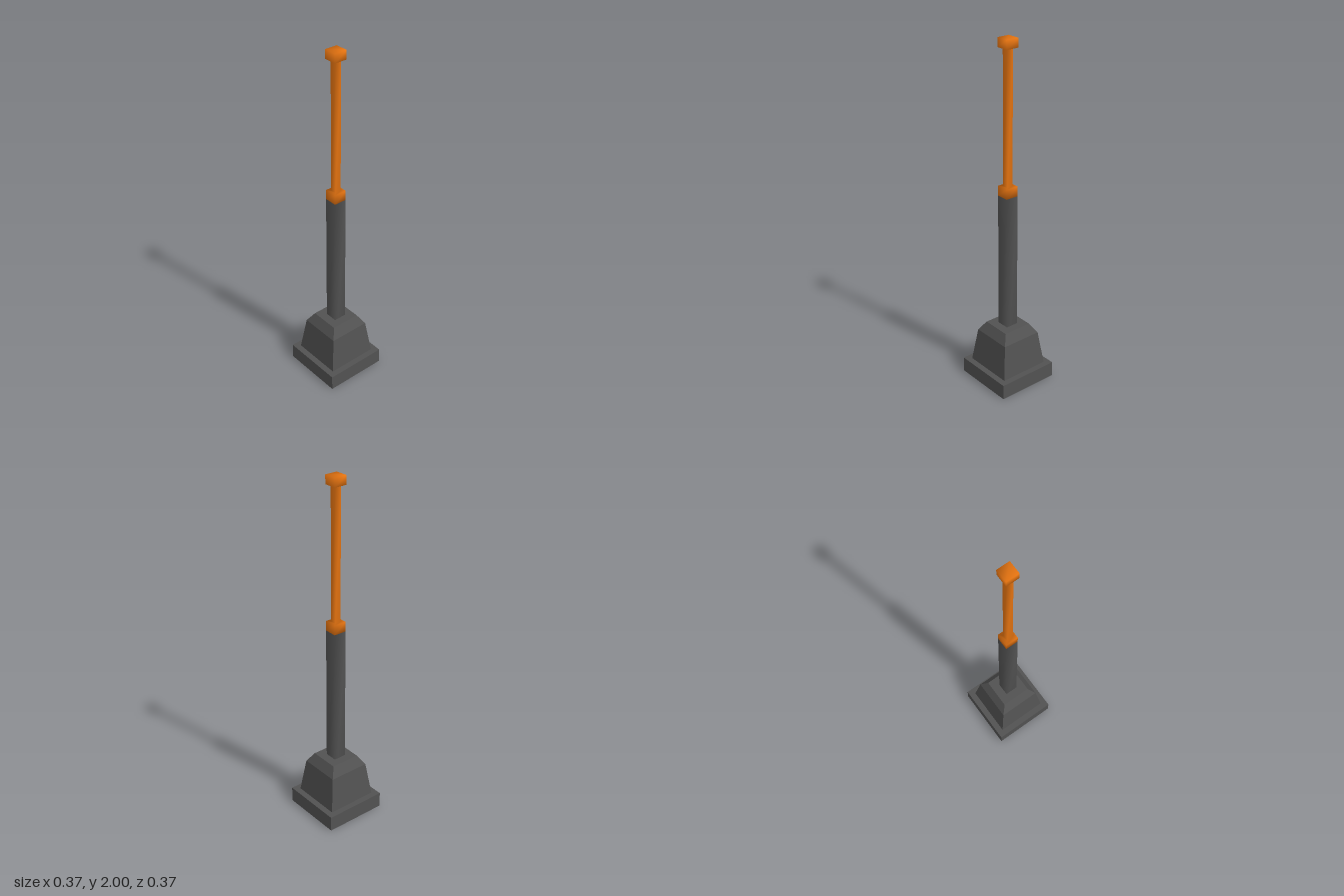
import * as THREE from 'three';

// Square-section solid through rings of [half width, y], listed bottom to top
function squareLoft(rings, flat) {
  const pos = [], index = [];
  for (const [h, y] of rings) pos.push(-h, y, h, h, y, h, h, y, -h, -h, y, -h);
  for (let r = 0; r < rings.length - 1; r++) {
    for (let k = 0; k < 4; k++) {
      const a = r * 4 + k, b = r * 4 + (k + 1) % 4;
      index.push(a, b, b + 4, a, b + 4, a + 4);
    }
  }
  const t = (rings.length - 1) * 4;
  index.push(0, 2, 1, 0, 3, 2, t, t + 1, t + 2, t, t + 2, t + 3);
  let geo = new THREE.BufferGeometry();
  geo.setAttribute('position', new THREE.Float32BufferAttribute(pos, 3));
  geo.setIndex(index);
  if (flat) geo = geo.toNonIndexed();
  geo.computeVertexNormals();
  return geo;
}

export function createModel() {
  const group = new THREE.Group();
  const grey = new THREE.MeshStandardMaterial({ name: 'dark grey', color: 0x525252 });
  const orange = new THREE.MeshStandardMaterial({ name: 'orange', color: 0xe87511 });

  const add = (name, rings, material, flat) => {
    const mesh = new THREE.Mesh(squareLoft(rings, flat), material);
    mesh.name = name;
    group.add(mesh);
  };

  // Stepped foot: slab and tapered pedestal
  add('plinth', [[0.183, 0], [0.183, 0.09]], grey, true);
  add('pedestal', [[0.148, 0.09], [0.121, 0.29], [0.086, 0.345]], grey, true);

  // Lower post, sunk into the pedestal
  add('post', [[0.037, 0.02], [0.037, 1.14]], grey, false);

  // Collar, slim rod and cap as one softly shaded piece
  add('upperRod', [
    [0.037, 1.14], [0.037, 1.197], [0.018, 1.197],
    [0.018, 1.95], [0.037, 1.95], [0.037, 2],
  ], orange, false);

  return group;
}
